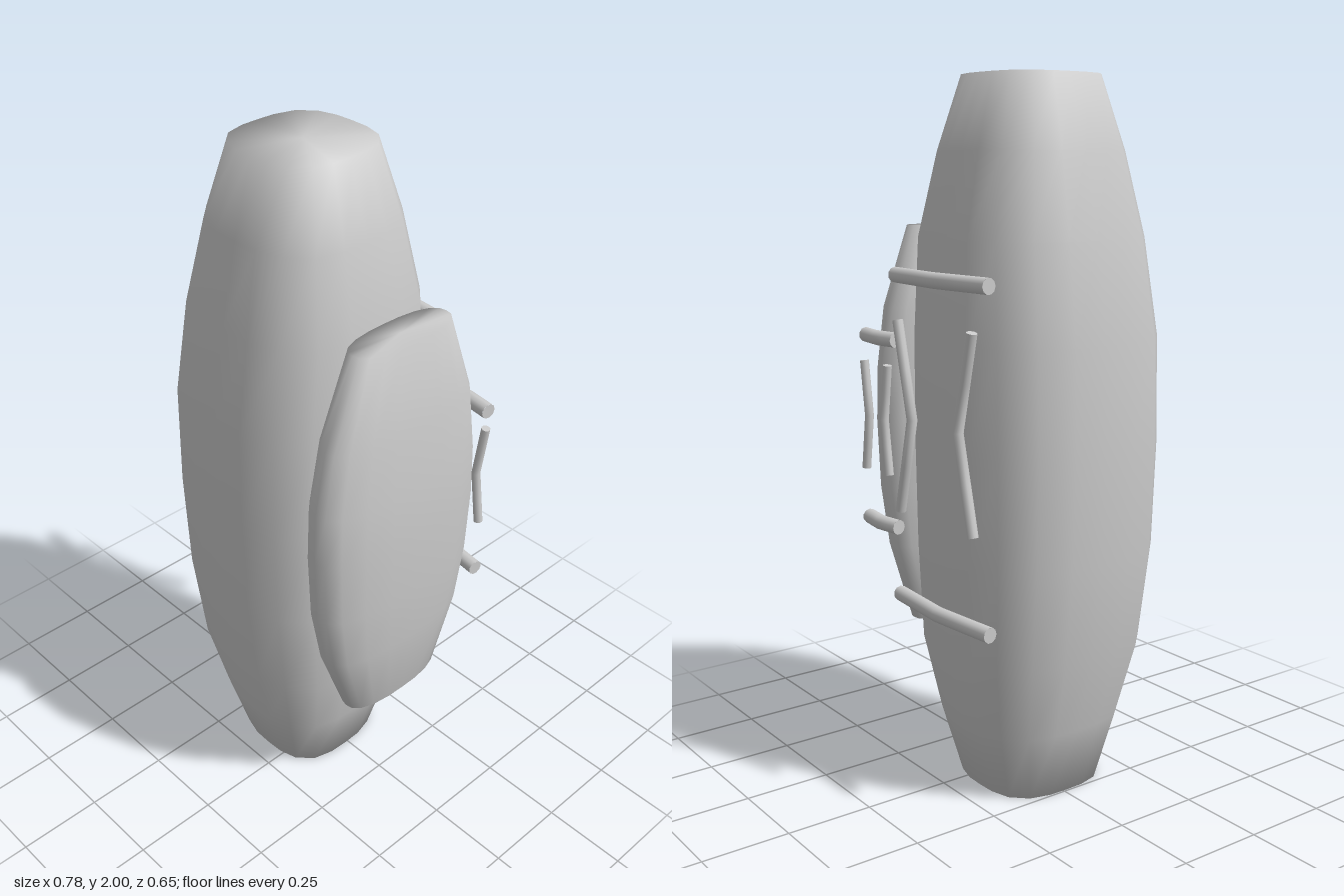
import * as THREE from 'three';

const grey = new THREE.MeshStandardMaterial({ color: 0xcccccc });

// Smooth padded shell: rounded-square rings [y, xMin, xMax, zMin, zMax], closed at both ends
function paddedShell(rows, sides, power) {
  const pos = [], index = [];
  for (const [y, x0, x1, z0, z1] of rows) {
    for (let j = 0; j < sides; j++) {
      const t = (j / sides) * Math.PI * 2;
      const c = Math.cos(t), s = Math.sin(t);
      const r = Math.pow(Math.abs(c) ** power + Math.abs(s) ** power, -1 / power);
      pos.push((x0 + x1) / 2 + (c * r * (x1 - x0)) / 2, y, (z0 + z1) / 2 + (s * r * (z1 - z0)) / 2);
    }
  }
  for (let i = 0; i < rows.length - 1; i++) {
    for (let j = 0; j < sides; j++) {
      const k = (j + 1) % sides;
      const a = i * sides + j, b = i * sides + k, c = a + sides, d = b + sides;
      index.push(a, c, b, b, c, d);
    }
  }
  // end caps share the rim so the shading stays soft
  for (const end of [0, rows.length - 1]) {
    const [y, x0, x1, z0, z1] = rows[end];
    const centre = pos.length / 3;
    pos.push((x0 + x1) / 2, y, (z0 + z1) / 2);
    for (let j = 0; j < sides; j++) {
      const a = end * sides + j, b = end * sides + ((j + 1) % sides);
      if (end === 0) index.push(centre, a, b);
      else index.push(centre, b, a);
    }
  }
  const geo = new THREE.BufferGeometry();
  geo.setAttribute('position', new THREE.Float32BufferAttribute(pos, 3));
  geo.setIndex(index);
  geo.computeVertexNormals();
  return geo;
}

// Capped bar bent once in the middle, through three points
function bentBar(points, radius, name) {
  const group = new THREE.Group();
  group.name = name;
  const [a, b, c] = points.map((p) => new THREE.Vector3(...p));
  const path = new THREE.CurvePath();
  path.add(new THREE.LineCurve3(a, b));
  path.add(new THREE.LineCurve3(b, c));
  const tube = new THREE.Mesh(new THREE.TubeGeometry(path, 4, radius, 10, false), grey);
  tube.name = name + 'Tube';
  group.add(tube);
  for (const [end, next] of [[a, b], [c, b]]) {
    const cap = new THREE.Mesh(new THREE.CircleGeometry(radius, 10), grey);
    cap.name = name + 'End';
    cap.position.copy(end);
    cap.lookAt(end.clone().multiplyScalar(2).sub(next));
    group.add(cap);
  }
  return group;
}

// Two cross handles and two inward-bent straps on the back of a bag
function backFittings(o) {
  const group = new THREE.Group();
  group.name = o.name;
  const mid = (o.x0 + o.x1) / 2;
  for (const y of o.handleY) {
    group.add(bentBar([[o.x0, y, o.handleZ], [mid, y, o.handleZ - o.bow], [o.x1, y, o.handleZ]], 0.022, 'handle'));
  }
  const [low, high] = o.strapY;
  for (const side of [-1, 1]) {
    const outer = mid + side * o.outer, inner = mid + side * o.inner;
    group.add(bentBar(
      [[outer, low, o.strapZ], [inner, (low + high) / 2, o.strapZ], [outer, high, o.strapZ]],
      o.strapRadius, 'strap'));
  }
  return group;
}

export function createModel() {
  const model = new THREE.Group();
  model.name = 'paddedBag';

  // Main bag
  const body = new THREE.Mesh(paddedShell([
    [0, -0.245, 0.105, -0.17, 0.19],
    [0.2, -0.295, 0.155, -0.225, 0.245],
    [0.42, -0.35, 0.205, -0.27, 0.295],
    [0.7, -0.38, 0.215, -0.285, 0.32],
    [1, -0.39, 0.218, -0.29, 0.327],
    [1.3, -0.383, 0.217, -0.288, 0.325],
    [1.57, -0.352, 0.208, -0.27, 0.29],
    [1.8, -0.3, 0.16, -0.22, 0.24],
    [2, -0.24, 0.1, -0.16, 0.18],
  ], 20, 3), grey);
  body.name = 'mainBag';
  model.add(body);

  // Side pouch
  const pouch = new THREE.Mesh(paddedShell([
    [0.412, 0.215, 0.335, -0.168, 0.175],
    [0.65, 0.198, 0.368, -0.235, 0.265],
    [0.83, 0.189, 0.382, -0.258, 0.3],
    [1.03, 0.186, 0.388, -0.265, 0.31],
    [1.18, 0.189, 0.383, -0.262, 0.305],
    [1.36, 0.198, 0.37, -0.24, 0.27],
    [1.593, 0.215, 0.335, -0.165, 0.17],
  ], 20, 2.6), grey);
  pouch.name = 'sidePouch';
  model.add(pouch);

  // Handles and straps on the back of both bags
  model.add(backFittings({
    name: 'mainBagFittings', x0: -0.29, x1: 0.156, handleY: [0.545, 1.465], handleZ: -0.289, bow: 0.018,
    strapY: [0.805, 1.345], strapZ: -0.311, outer: 0.178, inner: 0.112, strapRadius: 0.015,
  }));
  model.add(backFittings({
    name: 'pouchFittings', x0: 0.192, x1: 0.356, handleY: [0.73, 1.277], handleZ: -0.269, bow: 0.012,
    strapY: [0.885, 1.205], strapZ: -0.287, outer: 0.064, inner: 0.042, strapRadius: 0.013,
  }));
  return model;
}
